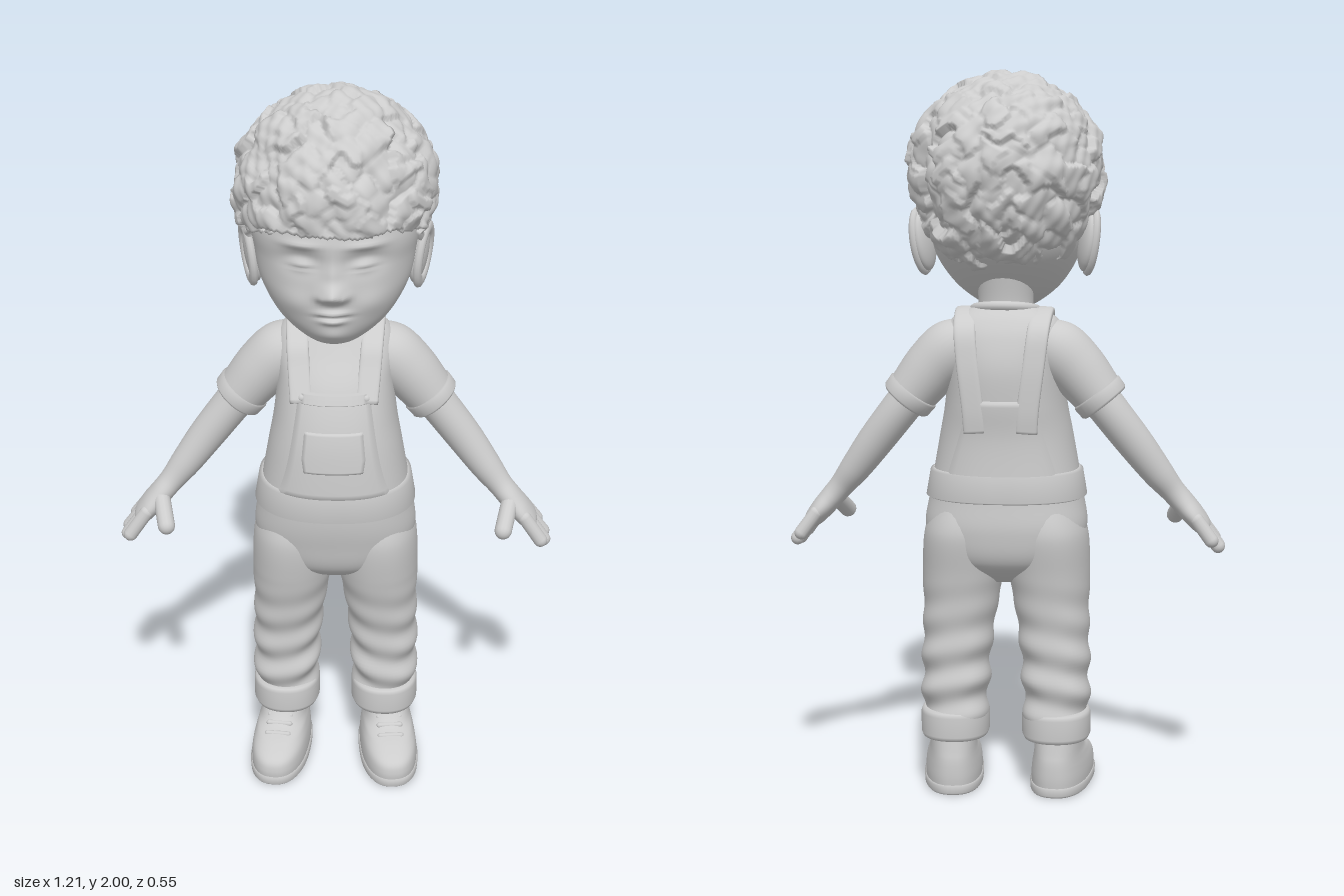
import * as THREE from 'three';
import { mergeVertices } from 'three/addons/utils/BufferGeometryUtils.js';

const clay = new THREE.MeshStandardMaterial({ color: 0xcccccc });
clay.name = 'clay grey';
const V = (x, y, z) => new THREE.Vector3(x, y, z);
const sgnPow = (v, p) => Math.sign(v) * Math.abs(v) ** p;

function add(parent, name, geo) {
  const m = new THREE.Mesh(geo, clay);
  m.name = name;
  parent.add(m);
  return m;
}

// Catmull-Rom resampling of rows of numbers
function smooth(rows, steps) {
  const out = [];
  const at = i => rows[Math.min(rows.length - 1, Math.max(0, i))];
  for (let i = 0; i < rows.length - 1; i++) for (let s = 0; s < steps; s++) {
    const t = s / steps;
    out.push(rows[i].map((p1, k) => {
      const p0 = at(i - 1)[k], p2 = at(i + 1)[k], p3 = at(i + 2)[k];
      return p1 + 0.5 * t * (p2 - p0 + t * (2 * p0 - 5 * p1 + 4 * p2 - p3 + t * (3 * (p1 - p2) + p3 - p0)));
    }));
  }
  out.push(rows[rows.length - 1]);
  return out;
}

// Closed skin over sections [x, y, z, a, b]; axis null keeps the rings level
function loft(sections, { axis = null, segs = 32, n = 2, bend = null } = {}) {
  const pos = [], idx = [], c = sections.map(s => V(s[0], s[1], s[2])), last = c.length - 1;
  sections.forEach((s, j) => {
    let u = V(1, 0, 0), v = V(0, 0, 1);
    if (axis) {
      const t = c[Math.min(last, j + 1)].clone().sub(c[Math.max(0, j - 1)]).normalize();
      u = t.clone().cross(axis).normalize();
      v = u.clone().cross(t);
    }
    for (let i = 0; i < segs; i++) {
      const a = i / segs * Math.PI * 2;
      const p = c[j].clone().addScaledVector(u, s[3] * sgnPow(Math.cos(a), 2 / n))
        .addScaledVector(v, s[4] * sgnPow(Math.sin(a), 2 / n));
      if (bend) bend(p, c[j]);
      pos.push(p.x, p.y, p.z);
    }
  });
  const e0 = pos.length / 3;
  pos.push(...c[0].toArray(), ...c[last].toArray());
  for (let i = 0; i < segs; i++) {
    const k = (i + 1) % segs, top = last * segs;
    for (let j = 0; j < last; j++) {
      const a = j * segs + i, b = j * segs + k;
      idx.push(a, a + segs, b, b, a + segs, b + segs);
    }
    idx.push(e0, i, k, e0 + 1, top + k, top + i);
  }
  const g = new THREE.BufferGeometry();
  g.setAttribute('position', new THREE.Float32BufferAttribute(pos, 3));
  g.setIndex(idx);
  g.computeVertexNormals();
  return g;
}

// Level section from [y, halfWidth, zFront, zBack] around x = cx
const level = (rows, cx = 0) => rows.map(([y, rx, f, b]) => [cx, y, (f + b) / 2, rx, (f - b) / 2]);

function ringAt(sections, y) {
  const i = Math.max(1, sections.findIndex(s => s[1] >= y));
  const a = sections[i - 1], b = sections[i], t = (y - a[1]) / (b[1] - a[1]);
  return a.map((v, k) => v + (b[k] - v) * t);
}

function capsule(parent, name, a, b, r) {
  const d = b.clone().sub(a);
  const m = add(parent, name, new THREE.CapsuleGeometry(r, d.length(), 6, 14));
  m.position.copy(a).add(b).multiplyScalar(0.5);
  m.quaternion.setFromUnitVectors(V(0, 1, 0), d.normalize());
  return m;
}

const TORSO_N = 2.3;
const torso = smooth(level([[0.6, 0.08, 0.07, -0.06], [0.66, 0.19, 0.155, -0.145], [0.75, 0.225, 0.185, -0.17],
  [0.85, 0.212, 0.2, -0.165], [1, 0.186, 0.195, -0.158], [1.1, 0.168, 0.18, -0.168], [1.2, 0.16, 0.145, -0.172],
  [1.28, 0.165, 0.095, -0.155], [1.33, 0.145, 0.065, -0.13], [1.365, 0.09, 0.045, -0.1]]), 8);

function onTorso(x, y, side, lift) {
  const [, , cz, rx, rz] = ringAt(torso, y);
  const k = Math.max(0, 1 - Math.min(1, Math.abs(x / rx)) ** TORSO_N) ** (1 / TORSO_N);
  return V(x, y, cz + side * (rz * k + lift));
}

// Thin cloth panel wrapped onto the torso; its rim sinks into the surface
function panel(parent, name, side, y0, y1, halfWidth, lift) {
  const N = 24, g = new THREE.PlaneGeometry(2, 1, N, N), p = g.attributes.position;
  for (let i = 0; i < p.count; i++) {
    const col = i % (N + 1), row = Math.floor(i / (N + 1));
    const rim = col === 0 || row === 0 || col === N || row === N;
    const t = p.getY(i) + 0.5;
    const q = onTorso(p.getX(i) * side * halfWidth(t), y0 + (y1 - y0) * t, side, rim ? -0.004 : lift);
    p.setXYZ(i, q.x, q.y, q.z);
  }
  g.computeVertexNormals();
  add(parent, name, g);
}

function makeHead(root) {
  const head = new THREE.Group();
  head.name = 'head';
  root.add(head);
  // Soft bumps that shape the face: [x, y, width, height, depth]
  const bumps = [[0, 1.52, 0.027, 0.024, 0.042], [0, 1.57, 0.02, 0.035, 0.012], [0, 1.463, 0.035, 0.009, 0.016],
    [0, 1.452, 0.035, 0.005, -0.01], [0, 1.44, 0.028, 0.009, 0.014], [0, 1.395, 0.04, 0.02, 0.008]];
  for (const s of [-1, 1]) bumps.push([s * 0.028, 1.51, 0.014, 0.013, 0.014], [s * 0.082, 1.6, 0.05, 0.03, -0.022],
    [s * 0.082, 1.59, 0.03, 0.017, 0.019], [s * 0.082, 1.582, 0.028, 0.004, -0.006],
    [s * 0.085, 1.645, 0.045, 0.01, 0.009], [s * 0.1, 1.485, 0.05, 0.035, 0.01]);
  const face = (p, c) => {
    if (p.z < c.z) return;
    const x = p.x, y = p.y;
    for (const [bx, by, w, h, d] of bumps) p.z += d * Math.exp(-(((x - bx) / w) ** 2) - ((y - by) / h) ** 2);
  };
  add(head, 'face', loft(smooth(level([[1.353, 0.025, 0.15, 0.07], [1.365, 0.075, 0.19, 0.01], [1.42, 0.145, 0.222, -0.07],
    [1.5, 0.196, 0.232, -0.15], [1.58, 0.214, 0.234, -0.19], [1.66, 0.222, 0.235, -0.2], [1.8, 0.2, 0.19, -0.19],
    [1.9, 0.11, 0.1, -0.1]]), 16), { segs: 96, bend: face }));
  add(head, 'neck', loft(smooth(level([[1.28, 0.09, 0.06, -0.1], [1.36, 0.076, 0.065, -0.085], [1.46, 0.08, 0.07, -0.1]]), 6)));

  for (const s of [-1, 1]) {
    const ear = new THREE.Group();
    ear.name = s > 0 ? 'leftEar' : 'rightEar';
    ear.position.set(s * 0.222, 1.54, -0.02);
    ear.rotation.set(-0.15, -s * 0.3, -s * 0.15);
    head.add(ear);
    add(ear, 'earLobe', new THREE.SphereGeometry(1, 24, 18)).scale.set(0.022, 0.082, 0.05);
    const rim = add(ear, 'earRim', new THREE.TorusGeometry(0.045, 0.012, 10, 28));
    rim.rotation.y = Math.PI / 2;
    rim.scale.set(0.95, 1.65, 1);
    rim.position.x = s * 0.012;
  }
  makeHair(head);
}

// Curly hair: a ball broken into overlapping raised clumps, tucked in below the hairline
function makeHair(head) {
  let seed = 7;
  const rnd = () => (seed = (seed * 16807) % 2147483647) / 2147483647;
  const cells = [];
  for (let i = 0; i < 230; i++) {
    const y = 1 - 2 * (i + 0.5) / 230, r = Math.sqrt(1 - y * y), a = i * 2.39996 + rnd() * 0.6;
    cells.push({ d: V(r * Math.cos(a), y, r * Math.sin(a)), h: rnd(), tilt: V(rnd() - 0.5, rnd() - 0.5, rnd() - 0.5) });
  }
  let g = new THREE.IcosahedronGeometry(1, 44);
  g.deleteAttribute('uv');
  g.deleteAttribute('normal');
  g = mergeVertices(g, 1e-5);
  const p = g.attributes.position, d = V(), w = V();
  for (let i = 0; i < p.count; i++) {
    d.fromBufferAttribute(p, i).normalize();
    w.set(d.x + 0.06 * Math.sin(17 * d.y + 9 * d.z), d.y + 0.05 * Math.sin(19 * d.x + 5 * d.z), d.z + 0.06 * Math.sin(15 * d.x - 11 * d.y));
    let best = cells[0], near = 9;
    for (const c of cells) {
      const q = c.d.distanceToSquared(w);
      if (q < near) { near = q; best = c; }
    }
    const slope = w.clone().sub(best.d).dot(best.tilt);
    let k = 0.955 + 0.075 * best.h + 0.3 * slope - 0.9 * near + 0.01 * Math.sin(31 * d.x + 23 * d.y) * Math.sin(29 * d.z);
    const y = 1.73 + 0.265 * d.y * k, z = 0.27 * d.z * k;
    const line = z < 0.06 ? 1.4 + 0.23 * Math.max(0, (z + 0.11) / 0.17) : 1.63 + 0.04 * Math.min(1, (z - 0.06) / 0.15);
    const tucked = z > -0.11 && y < line + 0.035 * (best.h - 0.5);
    if (tucked) k = 0.7;
    const drop = d.y < 0 && !tucked && z < 0 ? 1.12 : 1;
    p.setXYZ(i, 0.272 * d.x * k, Math.min(2, 1.73 + 0.265 * d.y * k * drop), 0.272 * d.z * k);
  }
  g.computeVertexNormals();
  add(head, 'curlyHair', g);
}

function makeClothes(root) {
  add(root, 'torso', loft(torso, { segs: 64, n: TORSO_N }));
  const collar = add(root, 'collar', new THREE.TorusGeometry(0.088, 0.013, 10, 40));
  collar.rotation.x = Math.PI / 2 + 0.2;
  collar.position.set(0, 1.352, -0.015);
  const band = [0.835, 0.84, 0.91, 0.915].map((y, i) => {
    const r = ringAt(torso, y), e = i % 3 ? 0.01 : 0;
    return [0, y, r[2], r[3] + e, r[4] + e];
  });
  add(root, 'waistband', loft(band, { segs: 64, n: TORSO_N }));
  panel(root, 'bib', 1, 0.9, 1.2, t => 0.172 - 0.075 * Math.sqrt(t), 0.01);
  panel(root, 'bibHem', 1, 1.172, 1.2, () => 0.094, 0.015);
  panel(root, 'bibPocket', 1, 0.985, 1.105, t => 0.085 + 0.01 * Math.min(1, 3 * t) - 0.012 * t, 0.017);
  panel(root, 'backPanel', -1, 0.89, 1.12, t => 0.16 - 0.075 * t, 0.007);
  for (const s of [-1, 1]) {
    const f = (x, y, side) => [...onTorso(s * x, y, side, 0.004).toArray(), 0.012, 0.03];
    const path = [f(0.088, 1.17, 1), f(0.095, 1.25, 1), f(0.1, 1.31, 1), [s * 0.103, 1.352, -0.03, 0.012, 0.032],
      f(0.1, 1.31, -1), f(0.09, 1.22, -1), f(0.075, 1.1, -1), f(0.07, 1.03, -1)];
    add(root, 'shoulderStrap', loft(smooth(path, 6), { axis: V(1, 0, 0), segs: 24, n: 4 }));
    const button = capsule(root, 'strapButton', onTorso(s * 0.086, 1.185, 1, 0), onTorso(s * 0.086, 1.185, 1, 0.006), 0.012);
    button.name = 'strapButton';
  }
}

function makeArm(root, s) {
  const arm = new THREE.Group();
  arm.name = s > 0 ? 'leftArm' : 'rightArm';
  root.add(arm);
  const flip = rows => rows.map(([x, ...rest]) => [s * x, ...rest]);
  const z = V(0, 0, 1);
  add(arm, 'sleeve', loft(smooth(flip([[0.08, 1.29, -0.04, 0.05, 0.07], [0.14, 1.25, -0.04, 0.082, 0.088],
    [0.2, 1.195, -0.04, 0.08, 0.087], [0.265, 1.115, -0.042, 0.069, 0.08]]), 8), { axis: z }));
  add(arm, 'sleeveHem', loft(flip([[0.25, 1.134, -0.042, 0.07, 0.08], [0.253, 1.13, -0.042, 0.076, 0.086],
    [0.272, 1.106, -0.042, 0.074, 0.084], [0.276, 1.101, -0.042, 0.068, 0.077]]), { axis: z }));
  add(arm, 'forearm', loft(smooth(flip([[0.22, 1.17, -0.045, 0.055, 0.06], [0.29, 1.08, -0.045, 0.053, 0.06],
    [0.36, 0.99, -0.036, 0.05, 0.053], [0.42, 0.91, -0.022, 0.043, 0.046], [0.46, 0.86, -0.01, 0.035, 0.04],
    [0.49, 0.825, -0.002, 0.033, 0.05], [0.52, 0.79, 0, 0.031, 0.064], [0.548, 0.757, 0, 0.024, 0.064],
    [0.558, 0.745, 0, 0.008, 0.05]]), 8), { axis: z }));
  [[-0.054, 0.57, 0.728], [-0.019, 0.588, 0.706], [0.019, 0.588, 0.702], [0.055, 0.576, 0.718]].forEach(([fz, x, y]) =>
    capsule(arm, 'finger', V(s * 0.53, 0.782, fz * 0.9), V(s * x, y, fz * 1.08), 0.0195));
  capsule(arm, 'thumb', V(s * 0.49, 0.825, 0.02), V(s * 0.468, 0.77, 0.105), 0.024);
}

function makeLeg(root, s) {
  const leg = new THREE.Group();
  leg.name = s > 0 ? 'leftLeg' : 'rightLeg';
  root.add(leg);
  const row = (x, r) => level([r], s * x)[0];
  // Trouser folds get stronger towards the ankle
  const folds = (p, c) => {
    const k = 0.006 * Math.max(0, Math.min(1, (0.62 - p.y) / 0.3)) * Math.sin(62 * p.y + 14 * p.x * s + 9 * p.z);
    p.x += k * Math.sign(p.x - c.x) * Math.min(1, Math.abs(p.x - c.x) / 0.05);
    p.z += k * Math.sign(p.z - c.z) * Math.min(1, Math.abs(p.z - c.z) / 0.05);
  };
  add(leg, 'trouserLeg', loft(smooth([row(0.142, [0.2, 0.088, 0.092, -0.11]), row(0.142, [0.28, 0.092, 0.1, -0.113]),
    row(0.138, [0.4, 0.096, 0.108, -0.115]), row(0.129, [0.52, 0.103, 0.132, -0.122]), row(0.12, [0.63, 0.114, 0.158, -0.14]),
    row(0.114, [0.74, 0.113, 0.17, -0.158]), row(0.105, [0.82, 0.09, 0.15, -0.14])], 12), { segs: 48, n: 2.2, bend: folds }));
  add(leg, 'cuff', loft([[0.152, 0.08, 0.085, -0.1], [0.154, 0.091, 0.1, -0.116], [0.165, 0.096, 0.104, -0.12], [0.22, 0.096, 0.104, -0.12],
    [0.231, 0.092, 0.1, -0.116], [0.235, 0.084, 0.09, -0.108]].map(r => row(0.143, r)), { segs: 48, n: 2.2 }));

  const shoe = new THREE.Group();
  shoe.name = 'shoe';
  shoe.position.x = s * 0.15;
  shoe.rotation.y = s * 0.1;
  leg.add(shoe);
  add(shoe, 'shoeUpper', loft(smooth(level([[0.012, 0.08, 0.244, -0.114], [0.045, 0.081, 0.247, -0.117], [0.075, 0.078, 0.235, -0.117],
    [0.1, 0.072, 0.185, -0.115], [0.125, 0.066, 0.115, -0.11], [0.18, 0.062, 0.07, -0.1]]), 6), { segs: 48, n: 2.4 }));
  add(shoe, 'sole', loft(level([[0, 0.08, 0.243, -0.113], [0.001, 0.081, 0.245, -0.115], [0.006, 0.084, 0.25, -0.119],
    [0.024, 0.085, 0.251, -0.12], [0.028, 0.08, 0.245, -0.115]]), { segs: 48, n: 2.4 }));
  [[0.112, 0.148], [0.126, 0.115], [0.14, 0.092]].forEach(([y, z]) =>
    capsule(shoe, 'lace', V(-0.03, y - 0.004, z - 0.006), V(0.03, y - 0.004, z - 0.006), 0.008));
}

export function createModel() {
  const root = new THREE.Group();
  root.name = 'childInOveralls';
  makeHead(root);
  makeClothes(root);
  for (const s of [-1, 1]) {
    makeArm(root, s);
    makeLeg(root, s);
  }
  return root;
}
